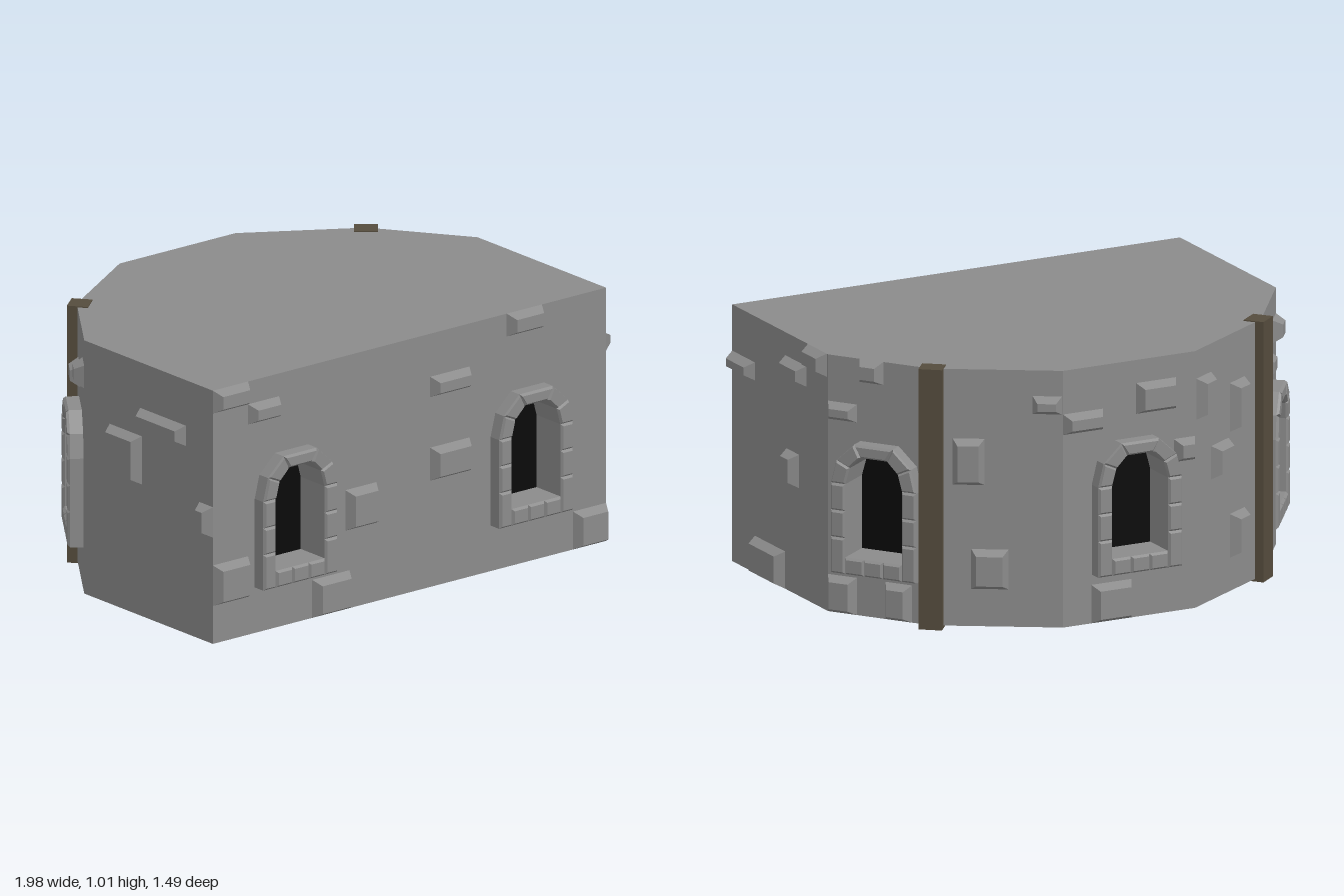
import * as THREE from 'three';

const stone = new THREE.MeshStandardMaterial({ color: 0x8b8b8b });
stone.name = 'grey stone';
const timber = new THREE.MeshStandardMaterial({ color: 0x554c3d });
timber.name = 'dark timber';
const dark = new THREE.MeshStandardMaterial({ color: 0x0a0a0a });
dark.name = 'dark opening';

const BOTTOM = 0.01, TOP = 1.01;

// Corners of the footprint [x, z], counterclockwise seen from above
const corners = [[-0.95, 0.69], [0.95, 0.69], [0.95, -0.07], [0.7, -0.42],
  [0.28, -0.68], [-0.28, -0.68], [-0.7, -0.42], [-0.95, -0.07]];

// Per wall, seen from outside: windows [u, lift], stones [u0, u1, v0, v1]
const walls = [
  { name: 'frontWall', windows: [[0.38, 0], [1.52, 0]], stones: [
    [0, 0.17, 0.92, 1.01], [0.17, 0.32, 0.84, 0.92], [1.42, 1.59, 0.92, 1.01],
    [1.05, 1.24, 0.76, 0.84], [1.05, 1.24, 0.43, 0.56], [0.64, 0.79, 0.32, 0.48],
    [0, 0.17, 0.16, 0.32], [0.48, 0.66, 0.01, 0.16], [1.74, 1.9, 0.01, 0.16]] },
  { name: 'leftSideWall', windows: [], stones: [
    [0, 0.18, 0.76, 0.83], [0.42, 0.59, 0.84, 0.92], [0.6, 0.75, 0.92, 1.01],
    [0.43, 0.53, 0.43, 0.56], [0.18, 0.42, 0.01, 0.155]] },
  { name: 'leftWindowWall', windows: [[0.215, -0.01]], stones: [
    [0, 0.12, 0.76, 0.83], [0.13, 0.23, 0.92, 1.01],
    [0, 0.12, 0.01, 0.155], [0.24, 0.35, 0.01, 0.155]] },
  { name: 'leftBackWall', windows: [], stones: [
    [0.08, 0.2, 0.56, 0.74], [0.15, 0.29, 0.155, 0.31], [0.38, 0.49, 0.84, 0.91]] },
  { name: 'backWall', windows: [[0.3, 0.01]], stones: [
    [0, 0.17, 0.76, 0.84], [0.31, 0.48, 0.8, 0.92],
    [0.47, 0.56, 0.59, 0.68], [0.12, 0.29, 0.01, 0.16]] },
  { name: 'rightBackWall', windows: [], stones: [
    [0.01, 0.12, 0.74, 0.9], [0.26, 0.37, 0.63, 0.82],
    [0.12, 0.25, 0.48, 0.61], [0.26, 0.37, 0.14, 0.31]] },
  { name: 'rightWindowWall', windows: [[0.215, -0.01]], stones: [
    [0.09, 0.21, 0.75, 0.83], [0.33, 0.43, 0.82, 0.91]] },
  { name: 'rightSideWall', windows: [], stones: [
    [0.33, 0.6, 0.75, 0.83], [0.15, 0.34, 0.53, 0.72], [0.68, 0.76, 0.43, 0.55]] },
];

// Arch points of the opening and of the frame, right to left
const arch = (half) => [...half, ...half.map(([x, y]) => [-x, y]).reverse()];
const innerArch = arch([[0.118, 0.54], [0.1, 0.605], [0.055, 0.65]]);
const outerArch = arch([[0.178, 0.54], [0.155, 0.63], [0.08, 0.7]]);
const opening = [[-0.118, 0.255], [0.118, 0.255], ...innerArch];

const rect = (x0, x1, y0, y1) => [[x0, y0], [x1, y0], [x1, y1], [x0, y1]];
const toVectors = (poly) => poly.map(([x, y]) => new THREE.Vector2(x, y));

function add(parent, name, geometry, material) {
  const mesh = new THREE.Mesh(geometry, material);
  mesh.name = name;
  parent.add(mesh);
  return mesh;
}

// Flat-faced loft of a counterclockwise polygon through layers [z, inset]
function loft(poly, layers, cap = true) {
  const xs = poly.map((p) => p[0]), ys = poly.map((p) => p[1]);
  const x0 = Math.min(...xs), x1 = Math.max(...xs), y0 = Math.min(...ys), y1 = Math.max(...ys);
  const cx = (x0 + x1) / 2, cy = (y0 + y1) / 2;
  const rings = layers.map(([z, inset]) => poly.map(([x, y]) => [
    cx + (x - cx) * (1 - 2 * inset / (x1 - x0)),
    cy + (y - cy) * (1 - 2 * inset / (y1 - y0)), z]));
  const out = [], n = poly.length;
  for (let r = 0; r + 1 < rings.length; r++) {
    for (let i = 0; i < n; i++) {
      const j = (i + 1) % n, a = rings[r], b = rings[r + 1];
      out.push(...a[i], ...a[j], ...b[j], ...a[i], ...b[j], ...b[i]);
    }
  }
  const last = rings[rings.length - 1];
  if (cap) for (let i = 1; i + 1 < n; i++) out.push(...last[0], ...last[i], ...last[i + 1]);
  const geometry = new THREE.BufferGeometry();
  geometry.setAttribute('position', new THREE.Float32BufferAttribute(out, 3));
  geometry.computeVertexNormals();
  return geometry;
}

// Recessed arched window with a frame of dressed blocks
function createWindow() {
  const group = new THREE.Group();
  group.name = 'archedWindow';
  add(group, 'windowReveal', loft(opening, [[0, 0], [-0.09, 0]], false), stone);
  add(group, 'windowOpening', new THREE.ShapeGeometry(new THREE.Shape(toVectors(opening))), dark)
    .position.z = -0.09;
  const block = (name, poly) =>
    add(group, name, loft(poly, [[0, 0], [0.05, 0], [0.06, 0.008]]), stone);
  [-0.118, -0.039, 0.039].forEach((x) => block('sillBlock', rect(x, x + 0.079, 0.19, 0.255)));
  [[0.19, 0.33], [0.33, 0.435], [0.435, 0.54]].forEach(([y0, y1]) => {
    block('jambBlock', rect(0.118, 0.178, y0, y1));
    block('jambBlock', rect(-0.178, -0.118, y0, y1));
  });
  for (let i = 0; i + 1 < innerArch.length; i++) {
    block('archBlock', [innerArch[i], outerArch[i], outerArch[i + 1], innerArch[i + 1]]);
  }
  return group;
}

// One flat wall with its window holes and projecting stones
function createWall(wall, [ax, az], [bx, bz]) {
  const group = new THREE.Group();
  group.name = wall.name;
  group.position.set(ax, 0, az);
  group.rotation.y = Math.atan2(az - bz, bx - ax);
  const shape = new THREE.Shape(toVectors(rect(0, Math.hypot(bx - ax, bz - az), BOTTOM, TOP)));
  wall.windows.forEach(([u, lift]) => {
    shape.holes.push(new THREE.Path(toVectors(opening.map(([x, y]) => [x + u, y + lift]))));
    const frame = createWindow();
    frame.position.set(u, lift, 0);
    group.add(frame);
  });
  add(group, 'wallFace', new THREE.ShapeGeometry(shape), stone);
  wall.stones.forEach((s) =>
    add(group, 'projectingStone', loft(rect(...s), [[0, 0], [0.038, 0.02]]), stone));
  return group;
}

export function createModel() {
  const model = new THREE.Group();
  model.name = 'stoneBuilding';

  walls.forEach((wall, i) =>
    model.add(createWall(wall, corners[i], corners[(i + 1) % corners.length])));

  // Flat roof and underside
  const roof = new THREE.Shape(toVectors(corners.map(([x, z]) => [x, -z])));
  add(model, 'roof', new THREE.ShapeGeometry(roof).rotateX(-Math.PI / 2), stone).position.y = TOP;
  const base = new THREE.Shape(toVectors(corners));
  add(model, 'underside', new THREE.ShapeGeometry(base).rotateX(Math.PI / 2), stone).position.y = BOTTOM;

  // Timber posts at the two rear corners
  [-1, 1].forEach((side) => {
    const post = add(model, 'cornerPost', new THREE.BoxGeometry(0.09, 1.014, 0.08), timber);
    post.position.set(side * 0.692, 0.507, -0.412);
    post.rotation.y = -side * 0.68;
  });
  return model;
}
